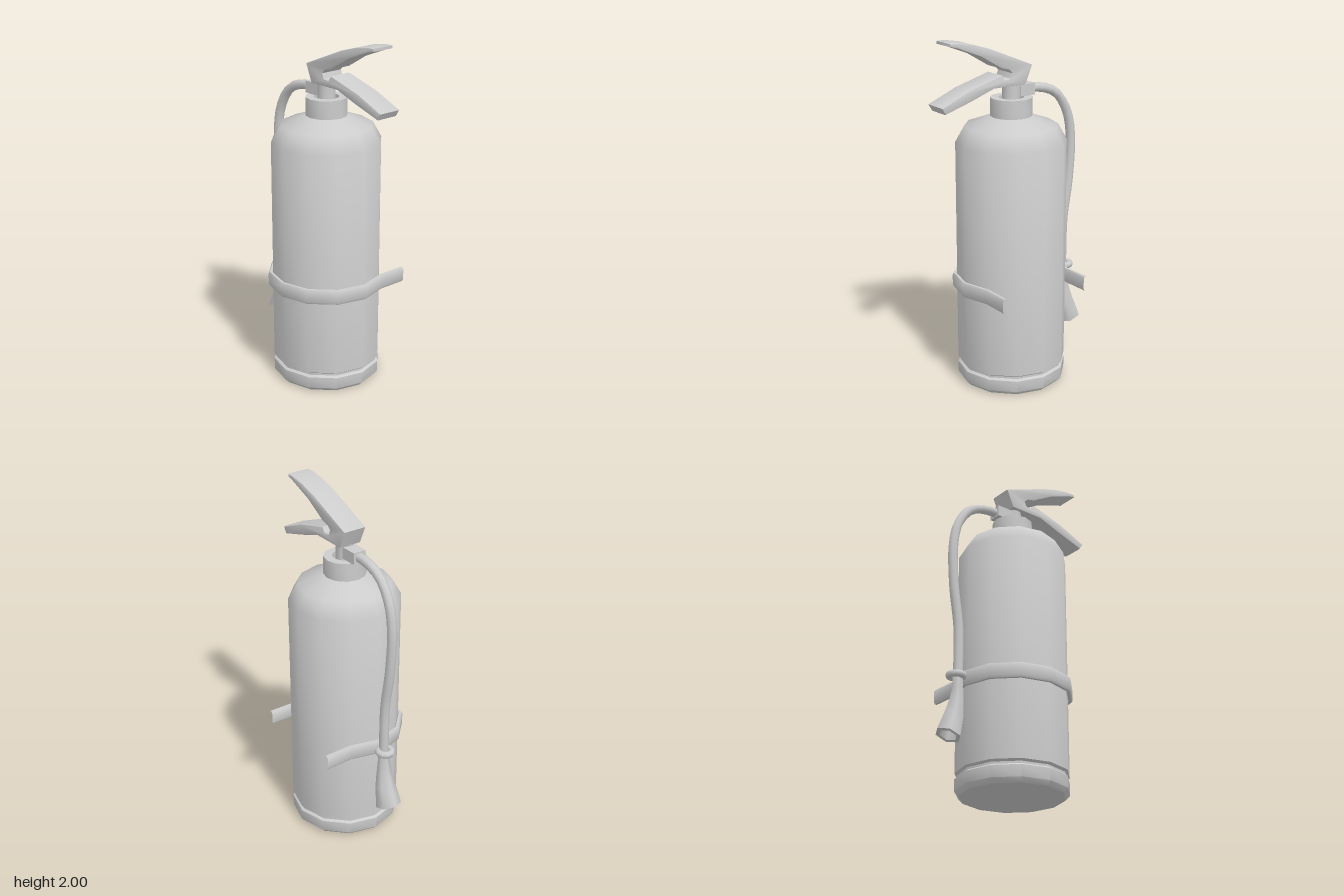
import * as THREE from 'three';
import { toCreasedNormals } from 'three/addons/utils/BufferGeometryUtils.js';

// Skin a list of closed rings (each a list of Vector3) into one surface
function loft(rings) {
  const n = rings[0].length, index = [];
  for (let i = 0; i < rings.length - 1; i++) {
    for (let j = 0; j < n; j++) {
      const a = i * n + j, b = i * n + (j + 1) % n;
      index.push(a, b, a + n, b, b + n, a + n);
    }
  }
  const geometry = new THREE.BufferGeometry().setFromPoints(rings.flat());
  geometry.setIndex(index);
  geometry.computeVertexNormals();
  return geometry;
}

function lathe(profile, sides) {
  return new THREE.LatheGeometry(profile.map(([r, y]) => new THREE.Vector2(r, y)), sides);
}

export function createModel() {
  const group = new THREE.Group();
  const grey = new THREE.MeshStandardMaterial({ color: 0xcccccc });
  grey.name = 'plain grey';
  const add = (name, geometry, crease) => {
    const mesh = new THREE.Mesh(crease ? toCreasedNormals(geometry, crease) : geometry, grey);
    mesh.name = name;
    group.add(mesh);
    return mesh;
  };

  // Tank with dished base, foot groove and rounded shoulder
  add('tank', lathe([
    [0, 0.06], [0.16, 0.045], [0.27, 0], [0.285, 0], [0.31, 0.025], [0.31, 0.09], [0.296, 0.1],
    [0.296, 0.112], [0.31, 0.122], [0.31, 1.41], [0.26, 1.5], [0.11, 1.555],
  ], 12), 0.8);

  // Collar ring and valve neck
  add('collar', lathe([[0.117, 1.545], [0.117, 1.655], [0.07, 1.655], [0.07, 1.62], [0, 1.62]], 12), 0.8);
  add('neck', new THREE.CylinderGeometry(0.05, 0.05, 0.14, 12).translate(0, 1.68, 0), 0.8);

  // Squeeze lever and carrying handle share one side profile (z, y)
  const outline = [
    [0.434, 1.98], [0.434, 1.995], [0.39, 1.996], [0.3, 1.98], [0.19, 1.947], [-0.092, 1.832], [-0.048, 1.73],
    [0.16, 1.73], [0.296, 1.683], [0.47, 1.63], [0.493, 1.667], [0.32, 1.738], [0.11, 1.796],
    [0.09, 1.767], [0.053, 1.772], [0.042, 1.8], [0.063, 1.82], [0.11, 1.832], [0.243, 1.91], [0.39, 1.967],
  ];
  const bevel = 0.006, depth = 0.137 - 2 * bevel;
  const handle = new THREE.ExtrudeGeometry(
    new THREE.Shape(outline.map(([z, y]) => new THREE.Vector2(z, y))),
    { depth, bevelThickness: bevel, bevelSize: bevel, bevelOffset: -bevel, bevelSegments: 2 });
  add('leverAndHandle', handle.translate(0, 0, -depth / 2).rotateY(-Math.PI / 2), 0.6);

  // Hose outlet block
  add('hoseFitting', new THREE.BoxGeometry(0.076, 0.066, 0.1).translate(0, 1.69, -0.083));

  // Hose hanging down the back
  const hosePath = new THREE.CatmullRomCurve3([
    [1.69, -0.12], [1.685, -0.2], [1.64, -0.31], [1.525, -0.39], [1.38, -0.42],
    [1.13, -0.41], [0.89, -0.375], [0.7, -0.37], [0.58, -0.37],
  ].map(([y, z]) => new THREE.Vector3(0, y, z)));
  add('hose', new THREE.TubeGeometry(hosePath, 24, 0.027, 8));

  // Ring holding the hose
  add('hoseRing', new THREE.TorusGeometry(0.038, 0.02, 8, 10).rotateX(Math.PI / 2).translate(0, 0.6, -0.382));

  // Six-sided flared nozzle: centre y, centre z, radius, backward tilt
  const nozzle = [
    [0.6, -0.37, 0.03, 0], [0.53, -0.371, 0.033, 0.02], [0.45, -0.378, 0.044, 0.12], [0.37, -0.392, 0.058, 0.24],
    [0.257, -0.425, 0.072, 0.34], [0.257, -0.425, 0.05, 0.34], [0.33, -0.4, 0.03, 0.34], [0.33, -0.4, 0.001, 0.34],
  ].map(([y, z, r, tilt]) => Array.from({ length: 6 }, (_, j) => {
    const a = Math.PI / 6 + j * Math.PI / 3, s = r * Math.sin(a);
    return new THREE.Vector3(r * Math.cos(a), y - s * Math.sin(tilt), z + s * Math.cos(tilt));
  }));
  add('nozzle', loft(nozzle), 1.1);

  // Open wall strap: path points are x, z and the outward direction
  const section = [
    [0.014, -0.03], [0.014, 0.03], [0.007, 0.042], [-0.007, 0.042],
    [-0.014, 0.03], [-0.014, -0.03], [-0.007, -0.042], [0.007, -0.042],
  ];
  const path = [[0.328, 0.281, Math.PI / 2]];
  for (let deg = 60; deg <= 300; deg += 30) {
    const a = THREE.MathUtils.degToRad(deg);
    const out = deg === 60 ? 1.44 : deg === 300 ? -1.44 : a;
    path.push([0.322 * Math.cos(a), 0.322 * Math.sin(a), out]);
  }
  path.push([0.328, -0.281, -Math.PI / 2]);
  add('wallStrap', loft(path.map(([x, z, a]) => section.map(([u, v]) =>
    new THREE.Vector3(x + u * Math.cos(a), 0.6 + v, z + u * Math.sin(a))))), 0.8);

  group.position.x = 0.003;
  return group;
}
